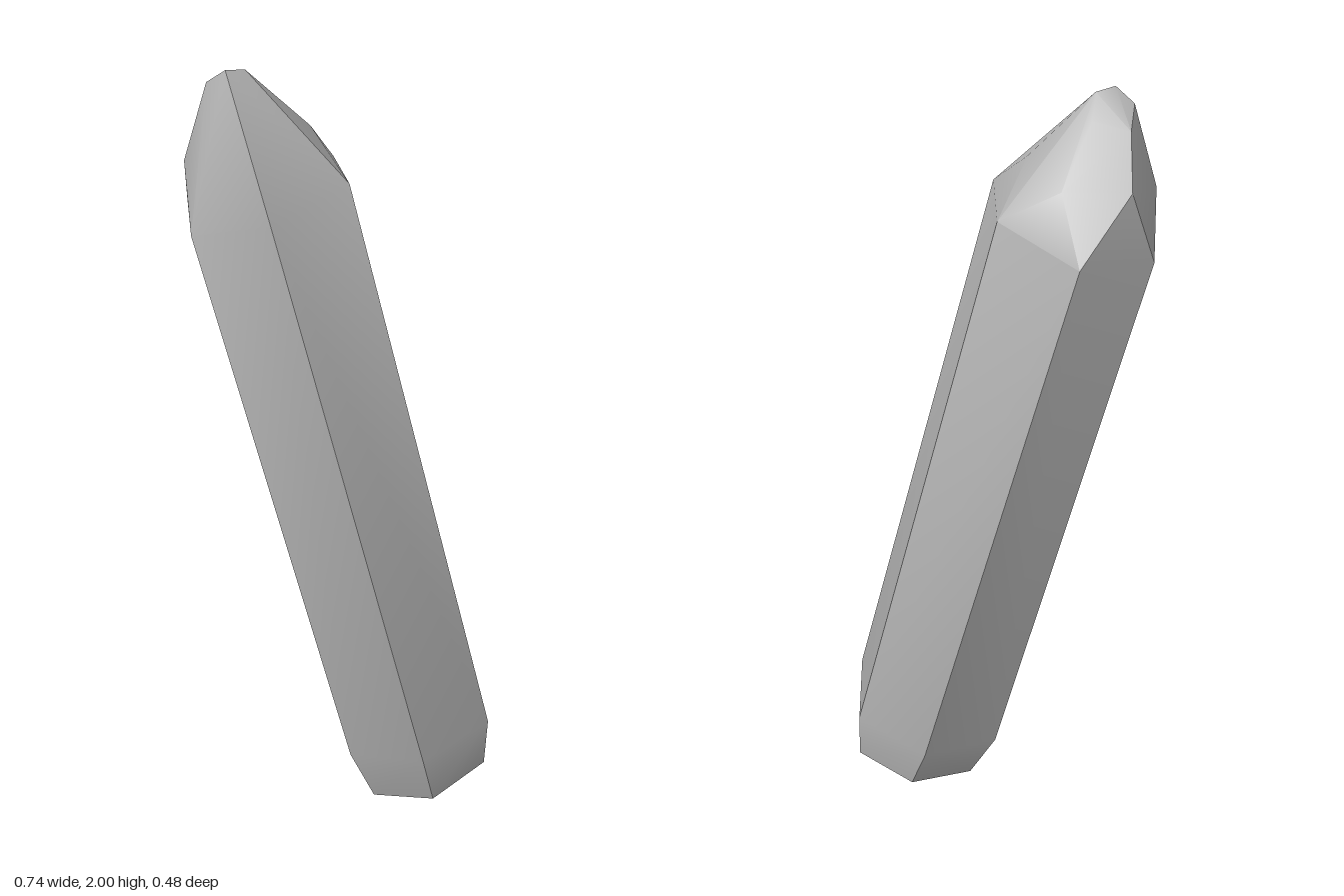
import * as THREE from 'three';
import { toCreasedNormals } from 'three/addons/utils/BufferGeometryUtils.js';
import { ConvexGeometry } from 'three/addons/geometries/ConvexGeometry.js';

// Six-sided cross-sections, listed front, front left, back left, back, back right, front right
const baseRing = [
  [0.20, 0.045, 0.20], [0.365, 0.075, 0.11], [0.368, 0.078, -0.06],
  [0.22, 0.045, -0.148], [0.055, 0, -0.07], [0.055, 0, 0.105],
];
const lowerRing = [
  [0.16, 0.21, 0.24], [0.36, 0.245, 0.145], [0.36, 0.245, -0.088],
  [0.18, 0.21, -0.205], [-0.015, 0.167, -0.11], [-0.015, 0.167, 0.125],
];
const upperRing = [
  [-0.205, 1.70, 0.20], [-0.015, 1.755, 0.105], [-0.015, 1.755, -0.11],
  [-0.185, 1.70, -0.24], [-0.36, 1.66, -0.13], [-0.37, 1.65, 0.09],
];
// Corners of the irregular faceted tip
const tip = [
  [-0.37, 1.79, -0.02], [-0.315, 1.97, 0.01], [-0.275, 2.0, 0.035],
  [-0.23, 1.995, 0.015], [-0.22, 1.95, -0.035], [-0.30, 1.94, -0.07],
  [-0.30, 1.835, -0.15], [-0.15, 1.835, -0.14], [-0.085, 1.86, -0.005],
];

export function createModel() {
  const model = new THREE.Group();
  model.name = 'crystalShard';

  const stone = new THREE.MeshStandardMaterial({ color: 0xb0b0b0 });
  stone.name = 'greyStone';

  // One closed faceted solid; shallow angles are smooth, ridges stay sharp
  const points = [...baseRing, ...lowerRing, ...upperRing, ...tip]
    .map((p) => new THREE.Vector3(...p));
  const geometry = toCreasedNormals(new ConvexGeometry(points), THREE.MathUtils.degToRad(32));

  const crystal = new THREE.Mesh(geometry, stone);
  crystal.name = 'crystal';
  model.add(crystal);
  return model;
}
